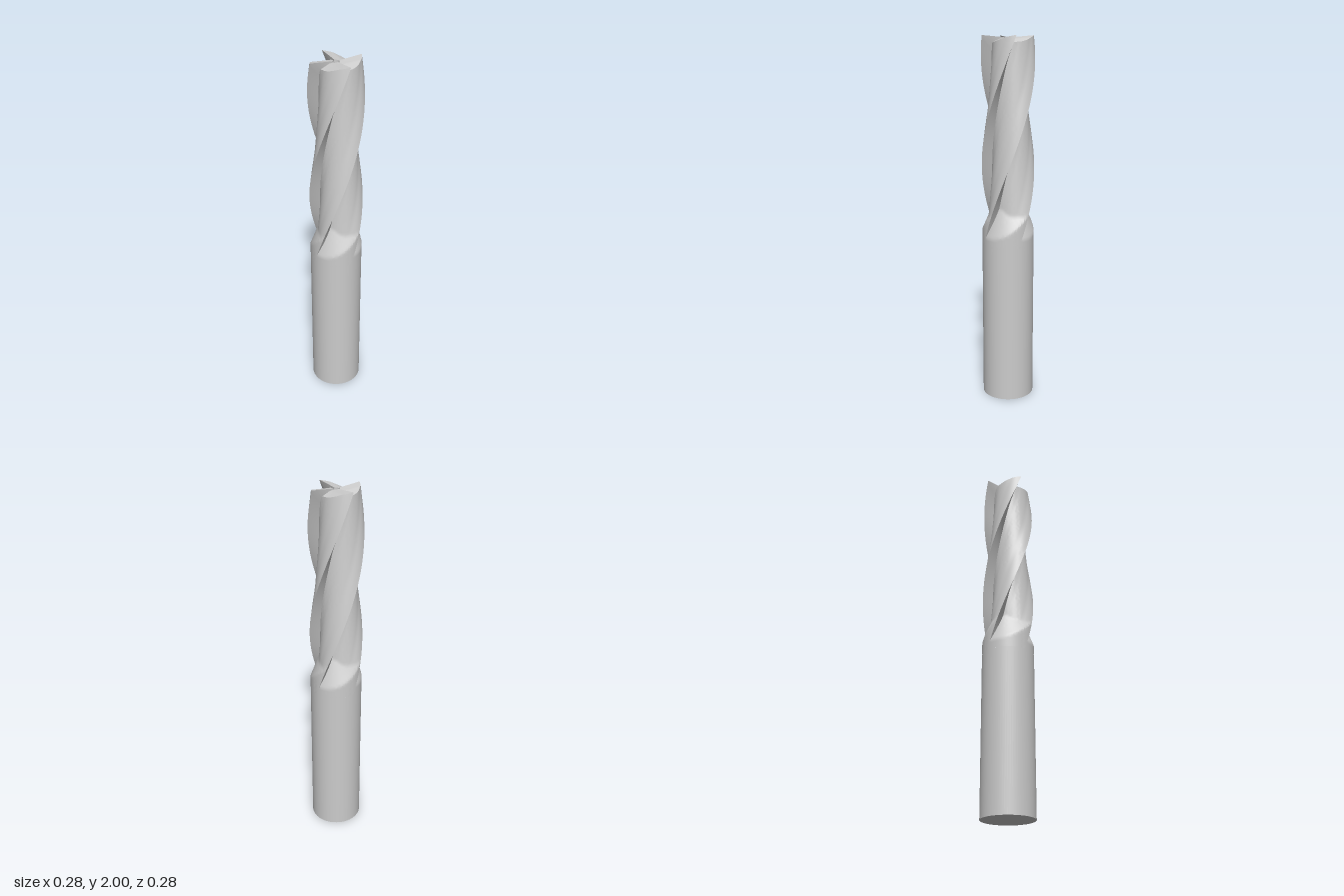
import * as THREE from 'three';
import { toCreasedNormals } from 'three/addons/utils/BufferGeometryUtils.js';

const R = 0.142;              // tool radius
const TOP = 2, BASE = 0.88;   // extent of the fluted part
const TWIST = (Math.PI / 2) / 0.58;
const TEETH = 4, STEPS = 18, ROWS = 90, CAP_ROWS = 12, HOLE = 0.02;
const { lerp, clamp } = THREE.MathUtils;

// radius of one tooth from its cutting edge (t = 0) to the next face (t = 1)
const profile = [[0, 0.142], [0.12, 0.132], [0.28, 0.116], [0.52, 0.102], [0.78, 0.089], [1, 0.085]];
function toothRadius(t) {
  let i = 1;
  while (i < profile.length - 1 && t > profile[i][0]) i++;
  const [t0, r0] = profile[i - 1], [t1, r1] = profile[i];
  return lerp(r0, r1, (t - t0) / (t1 - t0));
}

// flutes run out into the shank along a slanted curve
function radiusAt(t, y) {
  const runOut = 0.93 + 0.14 * (1 - t) ** 3;
  return Math.max(toothRadius(t), Math.min(R, R - (y - runOut) * 0.35));
}

// height of the end face: dished to the centre, two relief facets, a gash at each face
function endHeight(t, r) {
  const u = r * Math.sin(t * Math.PI / 2);
  const relief = u < 0.042 ? 0.2 * u : 0.0084 + 0.5 * (u - 0.042);
  const gash = 0.025 * clamp((t - 0.9) / 0.1, 0, 1);
  return TOP - 0.012 * (1 - r / R) - relief - gash;
}

function flutedBody() {
  const cols = [];
  for (let k = 0; k < TEETH; k++)
    for (let i = 0; i <= STEPS; i++) cols.push({ t: i / STEPS, k });

  const place = ({ t, k }, r, y) => {
    const a = (k + t) * Math.PI / 2 + (TOP - y) * TWIST;
    return new THREE.Vector3(r * Math.cos(a), y, r * Math.sin(a));
  };

  const rows = [];
  // helical wall
  for (let j = 0; j <= ROWS; j++) rows.push(cols.map(c => {
    const y = lerp(BASE, endHeight(c.t, toothRadius(c.t)), j / ROWS);
    return place(c, radiusAt(c.t, y), y);
  }));
  // end face, from rim to centre hole
  for (let j = 1; j <= CAP_ROWS; j++) rows.push(cols.map(c => {
    const r = lerp(toothRadius(c.t), HOLE, j / CAP_ROWS);
    return place(c, r, endHeight(c.t, r));
  }));
  // centre hole
  for (const r of [HOLE, 0]) rows.push(cols.map(c => place(c, r, 1.945)));

  const pos = [], tri = new THREE.Triangle();
  const add = (a, b, c) => {
    if (tri.set(a, b, c).getArea() > 1e-9)
      for (const p of [a, b, c]) pos.push(p.x, p.y, p.z);
  };
  for (let j = 0; j < rows.length - 1; j++)
    for (let i = 0; i < cols.length; i++) {
      const n = (i + 1) % cols.length;
      const a = rows[j][i], b = rows[j + 1][i], c = rows[j + 1][n], d = rows[j][n];
      add(a, b, c);
      add(a, c, d);
    }
  const g = new THREE.BufferGeometry();
  g.setAttribute('position', new THREE.Float32BufferAttribute(pos, 3));
  return toCreasedNormals(g, 0.35);
}

export function createModel() {
  const group = new THREE.Group();
  group.name = 'endMill';
  const material = new THREE.MeshStandardMaterial({ color: 0xcccccc });

  // plain shank
  const shank = new THREE.Mesh(new THREE.CylinderGeometry(R, R, BASE, 72), material);
  shank.name = 'shank';
  shank.position.y = BASE / 2;

  // four-tooth helical cutter
  const cutter = new THREE.Mesh(flutedBody(), material);
  cutter.name = 'flutedCutter';

  group.add(shank, cutter);
  return group;
}
